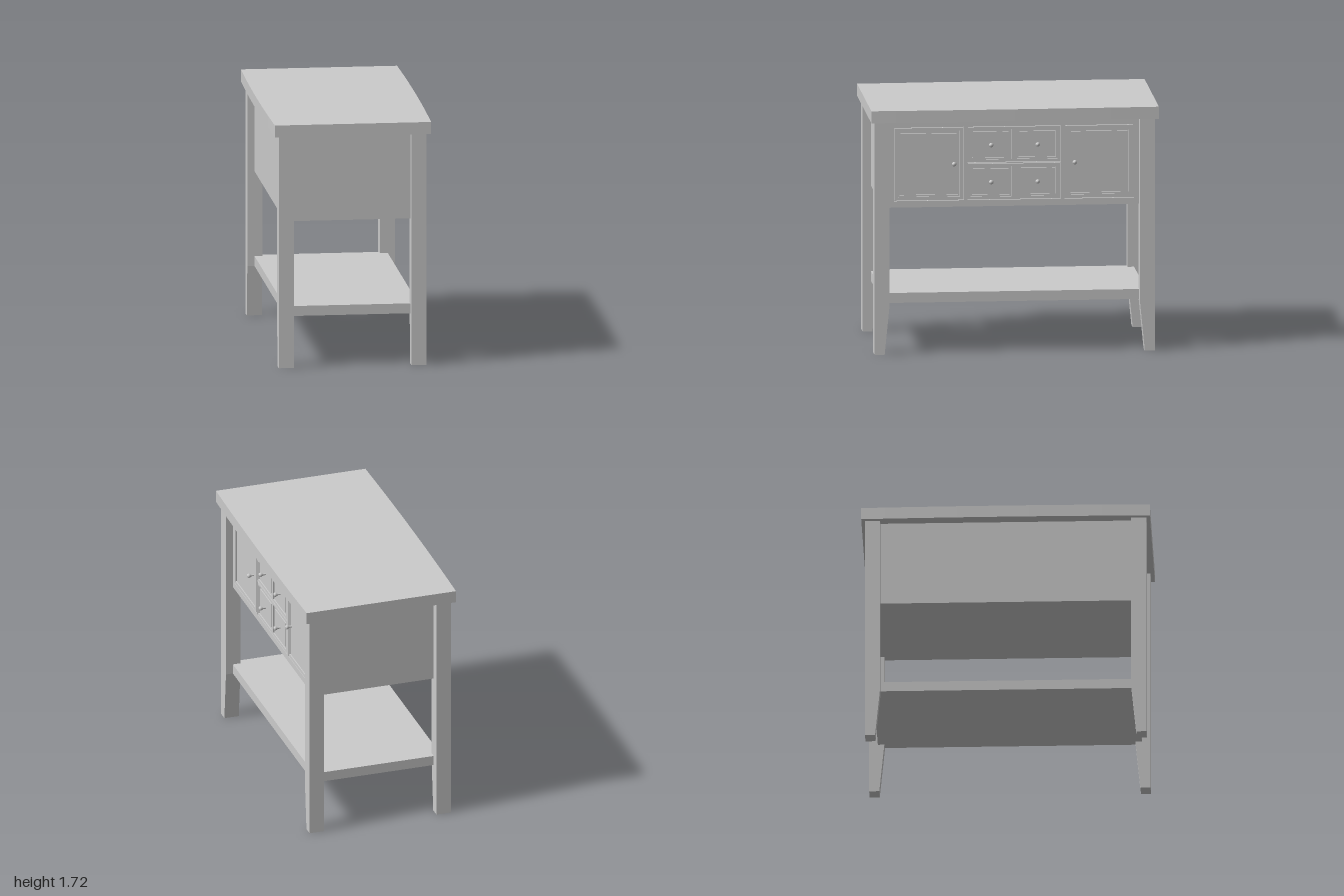
import * as THREE from 'three';

const material = new THREE.MeshStandardMaterial({ color: 0xcccccc });
const FACE = 0.465; // x of the cabinet's drawer face

function add(parent, name, geometry) {
  const mesh = new THREE.Mesh(geometry, material);
  mesh.name = name;
  parent.add(mesh);
  return mesh;
}

function box(parent, name, x0, x1, y0, y1, z0, z1) {
  add(parent, name, new THREE.BoxGeometry(x1 - x0, y1 - y0, z1 - z0))
    .position.set((x0 + x1) / 2, (y0 + y1) / 2, (z0 + z1) / 2);
}

// Rectangles are [u0, u1, y0, y1] with u = -z
function rectPoints([u0, u1, y0, y1]) {
  return [[u0, y0], [u1, y0], [u1, y1], [u0, y1]].map(p => new THREE.Vector2(...p));
}

const inset = ([u0, u1, y0, y1], d) => [u0 + d, u1 - d, y0 + d, y1 - d];

// Plate in the u-y plane, from x0 to x1, with rectangular openings
function plate(parent, name, points, holes, x0, x1) {
  const shape = new THREE.Shape(points);
  for (const h of holes) shape.holes.push(new THREE.Path(rectPoints(h)));
  const geometry = new THREE.ExtrudeGeometry(shape, { depth: x1 - x0, bevelEnabled: false });
  geometry.rotateY(Math.PI / 2).translate(x0, 0, 0);
  return add(parent, name, geometry);
}

function knob(parent, u, y) {
  const profile = [[0.007, 0], [0.007, 0.018], [0.012, 0.026], [0.016, 0.036], [0.013, 0.045], [0, 0.048]]
    .map(p => new THREE.Vector2(...p));
  const geometry = new THREE.LatheGeometry(profile, 16).rotateZ(-Math.PI / 2);
  add(parent, 'knob', geometry).position.set(FACE - 0.004, y, -u);
}

// Framed front: flush frame, stepped moulding and panel in each opening
function framedFront(parent, name, opening, panels, knobs) {
  const group = new THREE.Group();
  group.name = name;
  plate(group, 'frame', rectPoints(inset(opening, 0.005)), panels, FACE - 0.03, FACE);
  for (const p of panels) {
    plate(group, 'moulding', rectPoints(p), [inset(p, 0.012)], FACE - 0.03, FACE - 0.008);
    plate(group, 'panel', rectPoints(inset(p, 0.018)), [], FACE - 0.03, FACE - 0.004);
  }
  for (const [u, y] of knobs) knob(group, u, y);
  parent.add(group);
}

export function createModel() {
  const model = new THREE.Group();
  model.name = 'sideboard';

  // Table top with gently bowed long sides
  const top = new THREE.Shape();
  top.moveTo(-0.545, -1);
  top.lineTo(0.545, -1);
  top.quadraticCurveTo(0.567, 0, 0.545, 1);
  top.lineTo(-0.545, 1);
  top.quadraticCurveTo(-0.567, 0, -0.545, -1);
  const topGeometry = new THREE.ExtrudeGeometry(top, { depth: 0.085, bevelEnabled: false, curveSegments: 12 });
  add(model, 'tableTop', topGeometry.rotateX(-Math.PI / 2)).position.y = 1.635;

  // Legs, tapered on the inner side below the shelf
  for (const sx of [-1, 1]) {
    for (const su of [-1, 1]) {
      const profile = [[0.975, 0], [0.975, 1.635], [0.87, 1.635], [0.87, 0.355], [0.905, 0]]
        .map(([u, y]) => new THREE.Vector2(su * u, y));
      const x0 = sx > 0 ? 0.41 : -0.515;
      plate(model, 'leg', profile, [], x0, x0 + 0.105);
    }
  }

  // Shelf and cabinet body
  box(model, 'shelf', -FACE, FACE, 0.355, 0.425, -0.915, 0.915);
  box(model, 'cabinetBody', -FACE, FACE - 0.02, 1.025, 1.635, -0.915, 0.915);

  // Face frame with openings for the doors and drawer rows
  const doors = [-1, 1].map(s => (s < 0 ? [-0.835, -0.35, 1.07, 1.587] : [0.35, 0.835, 1.07, 1.587]));
  const rows = [[-0.325, 0.325, 1.07, 1.328], [-0.325, 0.325, 1.332, 1.587]];
  plate(model, 'faceFrame', rectPoints([-0.915, 0.915, 1.025, 1.635]),
    [...doors, ...rows], FACE - 0.03, FACE);

  for (const d of doors) {
    framedFront(model, 'door', d, [inset(d, 0.028)], [[Math.sign(d[0]) * 0.42, 1.33]]);
  }
  for (const r of rows) {
    const y0 = r[2] + 0.022, y1 = r[3] - 0.022, yMid = (y0 + y1) / 2;
    framedFront(model, 'drawerRow', r,
      [[-0.303, -0.02, y0, y1], [0.02, 0.303, y0, y1]],
      [[-0.162, yMid], [0.162, yMid]]);
  }
  return model;
}
